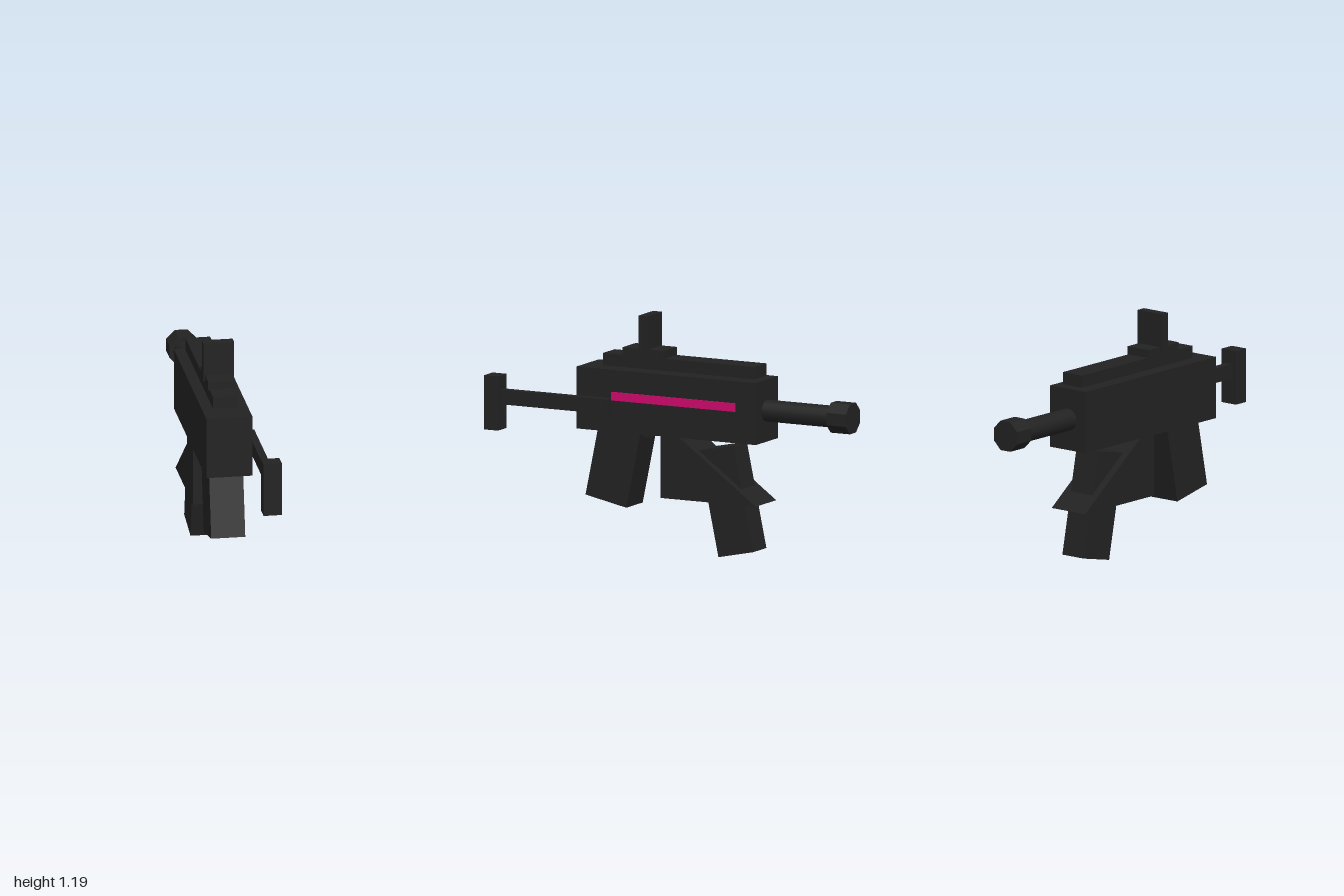
import * as THREE from 'three';

export function createModel() {
  const group = new THREE.Group();
  const gunmetal = new THREE.MeshStandardMaterial({ color: 0x222222, flatShading: true });
  gunmetal.name = 'gunmetal black';
  const smoothMetal = gunmetal.clone();
  smoothMetal.flatShading = false;
  smoothMetal.name = 'gunmetal black smooth';
  const pink = new THREE.MeshStandardMaterial({ color: 0xd2086e });
  pink.name = 'magenta';

  const add = (name, geometry, material = gunmetal) => {
    const mesh = new THREE.Mesh(geometry, material);
    mesh.name = name;
    group.add(mesh);
    return mesh;
  };
  // Box given by its limits on each axis
  const box = (name, [x0, x1], [y0, y1], [z0, z1], material) =>
    add(name, new THREE.BoxGeometry(x1 - x0, y1 - y0, z1 - z0), material)
      .position.set((x0 + x1) / 2, (y0 + y1) / 2, (z0 + z1) / 2);
  // Box leaning in the side plane
  const leaningBox = (name, size, position, angle) => {
    const mesh = add(name, new THREE.BoxGeometry(...size));
    mesh.position.set(...position);
    mesh.rotation.x = angle;
  };
  // Cylinder along z on the barrel axis
  const tube = (name, radius, sides, z0, z1, turn, material) => {
    const geometry = new THREE.CylinderGeometry(radius, radius, z1 - z0, sides);
    geometry.rotateY(turn).rotateX(Math.PI / 2);
    add(name, geometry, material).position.set(-0.037, 0.763, (z0 + z1) / 2);
  };

  // Receiver and top fittings
  box('receiver', [-0.153, 0.08], [0.605, 0.92], [-0.51, 0.51]);
  box('topRail', [-0.1, 0.025], [0.928, 0.99], [-0.475, 0.39]);
  box('sightBase', [-0.106, 0.033], [0.985, 1.03], [0.04, 0.275]);
  box('sightPlate', [-0.115, 0.041], [0.998, 1.2], [0.13, 0.18]);
  box('sideStripe', [0.079, 0.087], [0.765, 0.808], [-0.395, 0.31], pink);

  // Barrel and muzzle
  tube('barrel', 0.056, 16, -0.9, -0.5, 0, smoothMetal);
  tube('muzzle', 0.082, 8, -1, -0.89, Math.PI / 8);

  // Side stock
  box('stockRod', [0.084, 0.122], [0.7, 0.775], [0.31, 0.93]);
  box('stockPad', [0.057, 0.15], [0.57, 0.845], [0.92, 1]);

  // Grip, trigger stub and magazine
  leaningBox('grip', [0.173, 0.42, 0.237], [-0.037, 0.449, 0.317], -0.204);
  box('trigger', [-0.08, 0.006], [0.577, 0.62], [0.14, 0.2]);
  leaningBox('magazine', [0.14, 0.543, 0.202], [-0.037, 0.295, -0.315], 0.207);

  // Wedge-shaped magazine housing, profile drawn in z and y
  const profile = new THREE.Shape([[0.035, 0.29], [0.035, 0.61], [-0.065, 0.61], [-0.505, 0.29]]
    .map(([z, y]) => new THREE.Vector2(z, y)));
  const wedge = new THREE.ExtrudeGeometry(profile, { depth: 0.218, bevelEnabled: false });
  wedge.rotateY(-Math.PI / 2);
  add('magazineHousing', wedge).position.x = 0.073;

  return group;
}
